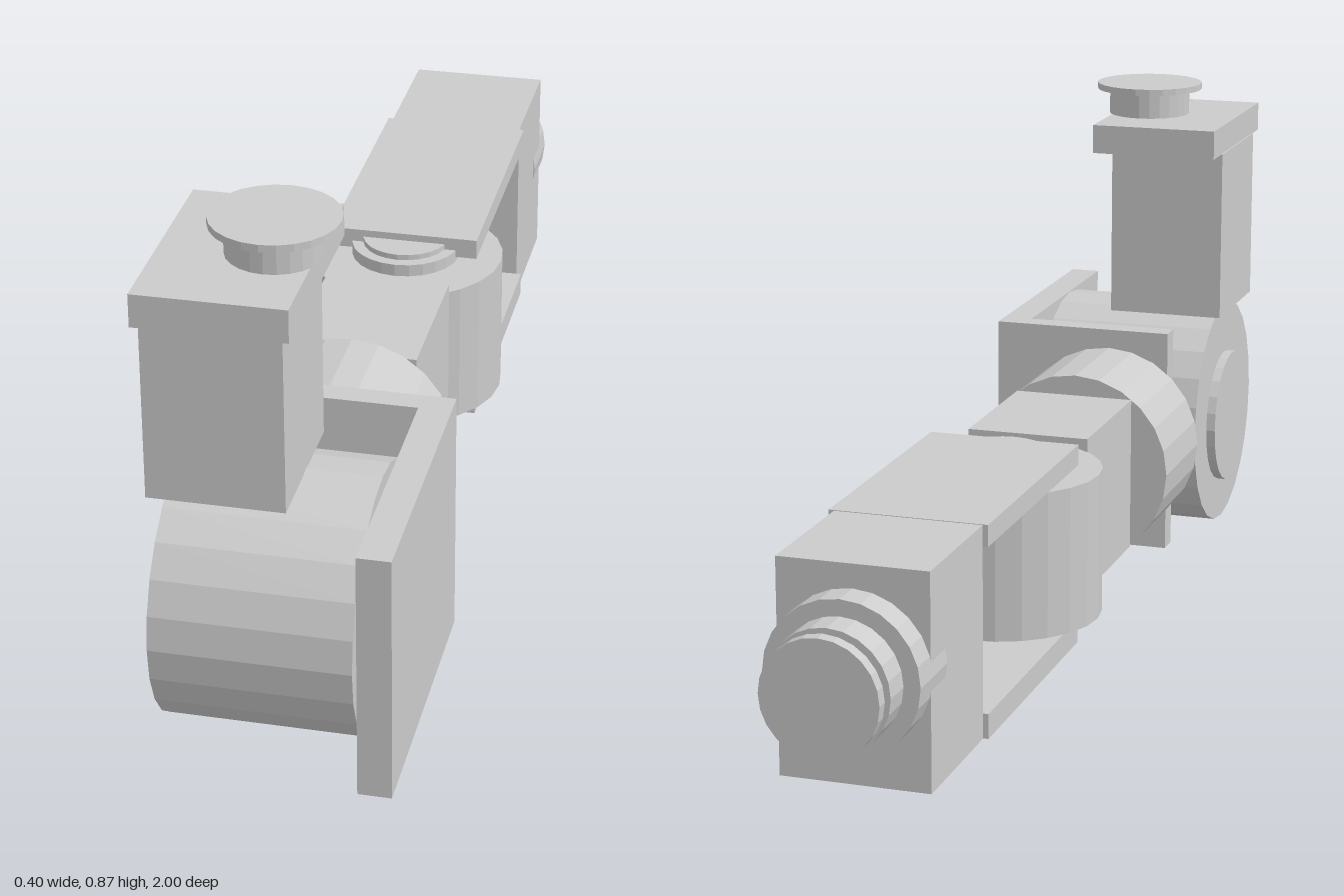
import * as THREE from 'three';

const material = new THREE.MeshStandardMaterial({ color: 0xcccccc, flatShading: true });

export function createModel() {
  const root = new THREE.Group();
  const AX = -0.022; // common centre line of the arm
  const AY = 0.2185;

  const add = (name, geometry) => {
    const mesh = new THREE.Mesh(geometry, material);
    mesh.name = name;
    root.add(mesh);
  };

  // box given by its extents
  const box = (name, [x0, x1], [y0, y1], [z0, z1]) => {
    const g = new THREE.BoxGeometry(x1 - x0, y1 - y0, z1 - z0);
    g.translate((x0 + x1) / 2, (y0 + y1) / 2, (z0 + z1) / 2);
    add(name, g);
  };

  // 24-sided drum from a to b along an axis; c holds the other two coordinates
  const drum = (name, axis, r, a, b, [c0, c1]) => {
    const g = new THREE.CylinderGeometry(r, r, b - a, 24);
    const m = (a + b) / 2;
    if (axis === 'x') g.rotateZ(Math.PI / 2).translate(m, c0, c1);
    else if (axis === 'y') g.translate(c0, m, c1);
    else g.rotateX(Math.PI / 2).translate(c0, c1, m);
    add(name, g);
  };

  // upright tool post with its cap and flange
  const POST_Z = 0.78;
  box('post', [-0.2, 0.018], [0.432, 0.752], [0.66, 0.905]);
  box('postCap', [-0.197, 0.041], [0.751, 0.805], [0.605, 0.957]);
  drum('postNeck', 'y', 0.077, 0.805, 0.853, [AX, POST_Z]);
  drum('postFlange', 'y', 0.101, 0.853, 0.865, [AX, POST_Z]);

  // shoulder joint, axis across
  const SHOULDER = [0.2175, 0.777];
  drum('shoulderDrum', 'x', 0.2175, -0.18, 0.138, SHOULDER);
  drum('shoulderCover', 'x', 0.128, -0.197, -0.18, [0.2085, 0.777]);
  drum('shoulderHub', 'x', 0.077, 0.138, 0.147, SHOULDER);

  // L-shaped bracket
  box('bracketSide', [0.146, 0.2], [0.006, 0.43], [0.511, 1]);
  box('bracketBack', [-0.137, 0.146], [0.006, 0.43], [0.511, 0.552]);

  // roll joint, axis along the arm
  drum('rollDrum', 'z', 0.176, 0.289, 0.511, [AX, AY]);
  drum('rollHub', 'z', 0.077, 0.275, 0.289, [AX, AY]);
  box('forearm', [-0.133, 0.086], [0.08, 0.36], [-0.002, 0.277]);

  // elbow joint, upright axis
  const ELBOW = [AX, -0.147];
  drum('elbowDrum', 'y', 0.175, 0.085, 0.341, ELBOW);
  drum('elbowCover', 'y', 0.097, 0.341, 0.363, ELBOW);
  drum('elbowCap', 'y', 0.077, 0.363, 0.373, ELBOW);
  drum('elbowHub', 'y', 0.077, 0.072, 0.085, ELBOW);

  // fork around the elbow
  box('forkTop', [-0.155, 0.111], [0.35, 0.386], [-0.612, -0.128]);
  box('forkBottom', [-0.155, 0.111], [0.031, 0.073], [-0.612, -0.128]);
  box('forkBlock', [-0.146, 0.102], [0.031, 0.385], [-0.856, -0.612]);

  // stepped wrist; the largest ring pokes slightly through the block
  const WRIST = [AX, 0.219];
  drum('wristRing', 'z', 0.127, -0.909, -0.79, WRIST);
  drum('wristStep', 'z', 0.1, -0.964, -0.909, WRIST);
  drum('wristNeck', 'z', 0.067, -0.978, -0.964, WRIST);
  drum('wristFlange', 'z', 0.096, -1, -0.978, WRIST);

  return root;
}
